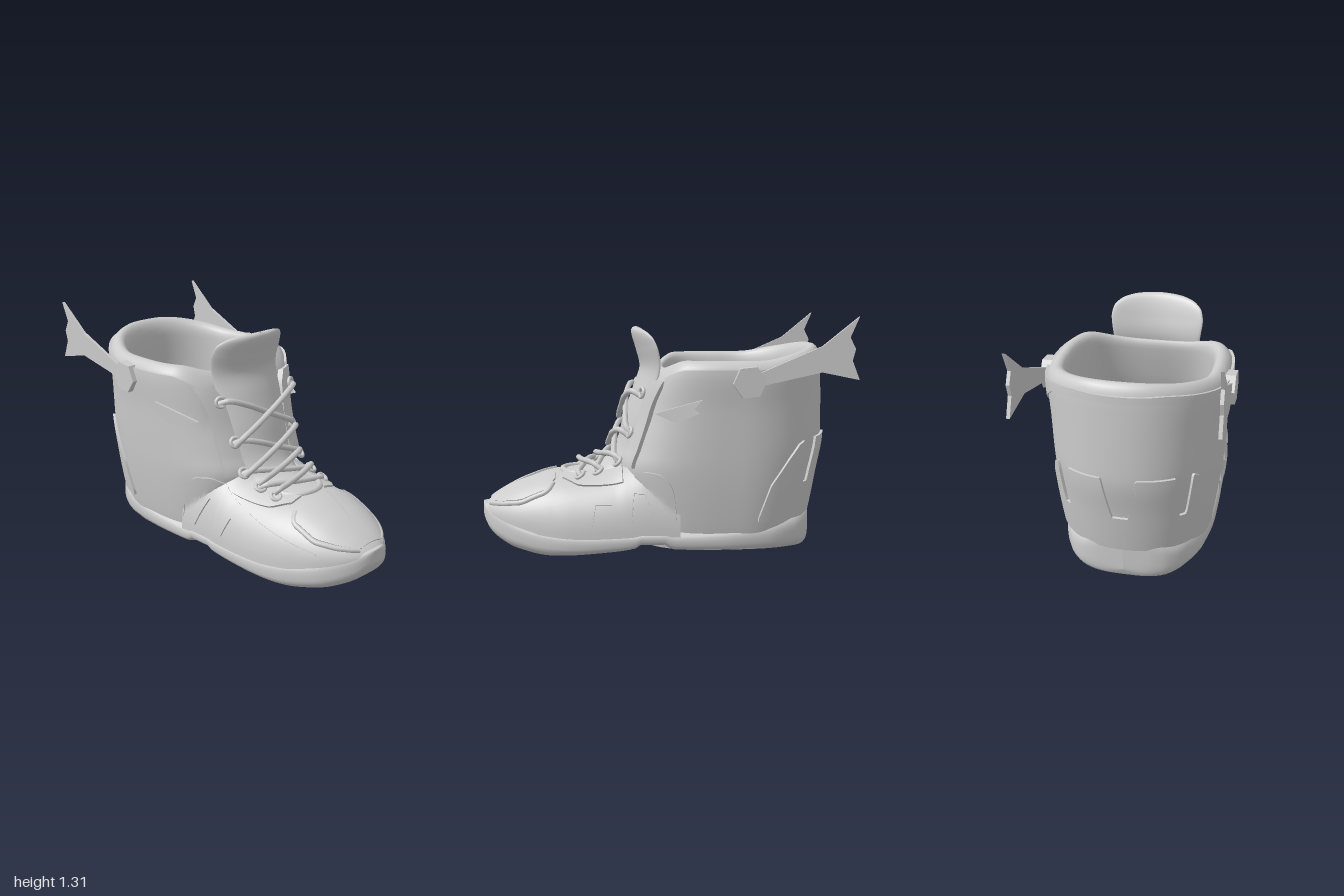
import * as THREE from 'three';
import { toCreasedNormals } from 'three/addons/utils/BufferGeometryUtils.js';

const V = (x, y, z) => new THREE.Vector3(x, y, z);
const mat = new THREE.MeshStandardMaterial({ color: 0xcccccc, side: THREE.DoubleSide });
const spow = (v, p) => Math.sign(v) * Math.pow(Math.abs(v), p);

// Piecewise interpolation of [key, value] pairs: straight, or smooth without overshoot
function lut(pts, smooth = true) {
  const sec = pts.slice(1).map((p, i) => (p[1] - pts[i][1]) / (p[0] - pts[i][0]));
  const tan = pts.map((p, i) => {
    const a = sec[Math.max(i - 1, 0)], b = sec[Math.min(i, sec.length - 1)];
    return a * b > 0 ? (2 * a * b) / (a + b) : 0;
  });
  return (x) => {
    if (x <= pts[0][0]) return pts[0][1];
    if (x >= pts[pts.length - 1][0]) return pts[pts.length - 1][1];
    let i = 0;
    while (x > pts[i + 1][0]) i++;
    const d = pts[i + 1][0] - pts[i][0], t = (x - pts[i][0]) / d;
    if (!smooth) return pts[i][1] + t * d * sec[i];
    const t2 = t * t, t3 = t2 * t;
    return (2 * t3 - 3 * t2 + 1) * pts[i][1] + (t3 - 2 * t2 + t) * d * tan[i]
      + (3 * t2 - 2 * t3) * pts[i + 1][1] + (t3 - t2) * d * tan[i + 1];
  };
}

// Skin over rows of points
function loft(rows, closed = true, crease = 0) {
  const n = rows[0].length, pos = [], idx = [];
  rows.forEach((r) => r.forEach((p) => pos.push(p.x, p.y, p.z)));
  for (let i = 0; i < rows.length - 1; i++)
    for (let j = 0; j < (closed ? n : n - 1); j++) {
      const a = i * n + j, b = i * n + (j + 1) % n;
      idx.push(a, b, b + n, a, b + n, a + n);
    }
  const g = new THREE.BufferGeometry();
  g.setAttribute('position', new THREE.Float32BufferAttribute(pos, 3));
  g.setIndex(idx);
  g.computeVertexNormals();
  return crease ? toCreasedNormals(g, crease) : g;
}

// Shaft outline by height
const shaftW = lut([[0, 0.35], [0.2, 0.395], [0.5, 0.432], [0.8, 0.45], [0.95, 0.465], [1, 0.455]]);
const backZ = lut([[0, -0.78], [0.2, -0.83], [0.45, -0.875], [0.67, -0.91], [1, -0.895]]);
const frontZ = lut([[0, 0.1], [0.4, 0.2], [0.5, 0.215], [0.6, 0.18], [0.75, 0.13], [0.9, 0.09], [1, 0.06]]);
const rimY = lut([[-0.85, 1.16], [-0.7, 1.12], [-0.5, 1.085], [-0.12, 1.085], [0.03, 1.0], [0.06, 0.94]]);
const ZC = -0.4;
function shaft(a, y, inset = 0) {
  const c = Math.cos(a), s = Math.sin(a), p = 2 / (c > 0 ? 3.1 : 2.15);
  const x = (shaftW(y) - inset) * spow(s, p);
  const z = ZC + ((c > 0 ? frontZ(y) - ZC : ZC - backZ(y)) - inset) * spow(c, p);
  return V(x, y > 0.7 ? 0.7 + (y - 0.7) * (rimY(z) - 0.7) / 0.3 : y, z);
}
const shaftFront = (y, x) => V(x, y, ZC + (frontZ(y) - ZC) * (1 - (Math.abs(x) / shaftW(y)) ** 3.1) ** (1 / 3.1));

// Foot outline by length
const soleW = lut([[-0.84, 0], [-0.83, 0.14], [-0.8, 0.23], [-0.72, 0.31], [-0.55, 0.375], [-0.3, 0.4], [0, 0.395],
  [0.3, 0.385], [0.5, 0.365], [0.6, 0.343], [0.7, 0.308], [0.8, 0.262], [0.88, 0.207], [0.94, 0.148], [0.98, 0.085],
  [0.995, 0.04], [1, 0]]);
const soleLow = lut([[-0.84, 0.09], [-0.82, 0.045], [-0.77, 0.02], [-0.4, 0.03], [-0.03, 0.045], [-0.015, 0.075],
  [0.14, 0.075], [0.155, 0.055], [0.3, 0.03], [0.62, 0.005], [0.8, 0.035], [0.9, 0.08], [0.96, 0.13], [1, 0.2]]);
const soleTop = lut([[-0.84, 0.27], [-0.75, 0.27], [-0.45, 0.22], [0, 0.19], [0.4, 0.19], [0.7, 0.22], [0.9, 0.265], [1, 0.275]]);
const footTop = lut([[-0.1, 0.58], [0.1, 0.57], [0.2, 0.53], [0.27, 0.495], [0.38, 0.47], [0.5, 0.455], [0.6, 0.445],
  [0.75, 0.4], [0.9, 0.325], [0.96, 0.285], [0.985, 0.265]]);
const footBase = lut([[0.6, 0.13], [0.985, 0.23]]);
const NF = 2.3;
const footW = (z) => Math.max(soleW(z) - 0.006, 0.001);
const bow = (t) => Math.max(0, 1 - Math.min(1, Math.abs(t)) ** NF) ** (1 / NF);
const footUp = (z, x) => V(x, footBase(z) + (footTop(z) - footBase(z)) * bow(x / footW(z)), z);
function side(z, y) {
  const b = footBase(z), t = (z - ZC) / (frontZ(y) - ZC);
  const foot = z < -0.1 ? 0 : footW(z) * bow(Math.max(0, y - b) / (footTop(z) - b));
  return V(Math.max(foot, t < 1 ? shaftW(y) * (1 - Math.abs(t) ** 3.1) ** (1 / 3.1) : 0), y, z);
}

// Point lifted off a surface along its outward normal
function lift(fn, u, v, h) {
  const e = 0.004, p = fn(u, v);
  const n = fn(u + e, v).sub(fn(u - e, v)).cross(fn(u, v + e).sub(fn(u, v - e))).normalize();
  const c = V(0, Math.min(p.y, 0.15), p.y > 0.55 ? ZC : THREE.MathUtils.clamp(p.z, ZC, 0.6));
  if (n.dot(p.clone().sub(c)) < 0) n.negate();
  return p.addScaledVector(n, h);
}

// Raised overlay following a surface between two boundary curves
function panel(fn, u0, u1, lo, hi, h = 0.018, nu = 60, nv = 10) {
  const rows = [];
  for (let i = -1; i <= nu + 1; i++) {
    const u = u0 + (u1 - u0) * THREE.MathUtils.clamp(i / nu, 0, 1), row = [], a = lo(u), b = Math.max(hi(u), a);
    for (let j = -1; j <= nv + 1; j++) {
      const edge = i < 0 || i > nu || j < 0 || j > nv;
      row.push(lift(fn, u, a + (b - a) * THREE.MathUtils.clamp(j / nv, 0, 1), edge ? -0.012 : h));
    }
    rows.push(row);
  }
  return loft(rows, false, 0.7);
}
const tube = (pts, r, seg = 40) => new THREE.TubeGeometry(new THREE.CatmullRomCurve3(pts), seg, r, 8);
const range = (n, f) => Array.from({ length: n + 1 }, (_, i) => f(i / n));

export function createModel() {
  const boot = new THREE.Group();
  boot.name = 'boot';
  const add = (name, geo) => {
    const m = new THREE.Mesh(geo, mat);
    m.name = name;
    boot.add(m);
    return m;
  };

  // Shaft: up the outside, over the padded rim, down the lining to the insole
  const N = 96, ring = (y, inset) => range(N - 1, (t) => shaft(t * 2 * Math.PI * (N - 1) / N, y, inset));
  const rows = range(28, (t) => ring(0.06 + 0.88 * t, 0));
  for (let i = 1; i <= 10; i++) {
    const t = i / 10 * Math.PI;
    rows.push(ring(0.94 + 0.06 * Math.sin(t), 0.05 * (1 - Math.cos(t))));
  }
  range(12, (t) => rows.push(ring(0.9 - 0.6 * t, 0.1 - 0.05 * t)));
  rows.push(ring(0.29, 0.08), rows[0].map(() => V(0, 0.29, -0.35)));
  add('shaft', loft(rows));

  // Forefoot upper
  add('forefoot', loft(range(50, (t) => {
    const z = -0.08 + 1.065 * Math.sin(t * Math.PI / 2), b = footBase(z);
    return range(40, (k) => {
      const a = k * Math.PI;
      return V(footW(z) * spow(Math.cos(a), 2 / NF), b + (footTop(z) - b) * Math.pow(Math.abs(Math.sin(a)), 2 / NF), z);
    });
  }), false));

  // Sole with raised arch
  add('sole', loft(range(110, (t) => {
    const z = 0.08 - 0.92 * Math.cos(t * Math.PI), b = soleLow(z), h = (soleTop(z) - b) / 2;
    return range(47, (k) => {
      const a = k * 2 * Math.PI * 47 / 48, s = Math.sin(a);
      return V(soleW(z) * spow(Math.cos(a), 0.58), b + h + h * spow(s, s > 0 ? 0.75 : 0.62), z);
    });
  })));

  // Tongue
  const path = new THREE.CatmullRomCurve3([[0.45, 0.43], [0.29, 0.49], [0.225, 0.58], [0.175, 0.75], [0.125, 0.9],
    [0.085, 1.03], [0.105, 1.13], [0.145, 1.25]].map(([z, y]) => V(0, y, z)));
  const tongueW = lut([[0, 0.14], [0.3, 0.19], [0.7, 0.24], [0.84, 0.255], [0.9, 0.245], [0.95, 0.205], [0.98, 0.145],
    [0.995, 0.075], [1, 0.005]]);
  add('tongue', loft(range(60, (q) => {
    const t = Math.sin(q * Math.PI / 2), p = path.getPoint(t), d = path.getTangent(t);
    const k = 0.03 * Math.sqrt(1 - 0.98 * t ** 40);
    return range(35, (r) => {
      const a = r * 2 * Math.PI * 35 / 36, x = tongueW(t) * spow(Math.cos(a), 0.8), o = k * Math.sin(a) - 1.1 * x * x;
      return V(x, p.y - d.z * o, p.z + d.y * o);
    });
  })));

  // Padded collar panel and heel counter
  const collarLow = lut([[-0.9, 0.94], [-0.75, 0.93], [-0.6, 0.87], [-0.35, 0.76], [-0.08, 0.77], [0.03, 0.86]], false);
  add('collarPanel', panel(shaft, 0.7, 2 * Math.PI - 0.7, (a) => collarLow(shaft(a, 0.8).z), () => 0.965, 0.009, 120));
  const heelTop = lut([[0.2, 0.24], [0.32, 0.42], [0.52, 0.56], [0.64, 0.63], [0.73, 0.655], [0.8, 0.42], [0.9, 0.42],
    [0.96, 0.66], [1.4, 0.67], [1.49, 0.43], [1.57, 0.43]], false);
  add('heelCounter', panel(shaft, Math.PI / 2 + 0.2, Math.PI * 1.5 - 0.2, () => 0.22,
    (a) => heelTop(Math.PI / 2 - Math.abs(a - Math.PI)), 0.014, 180));

  // Front edge of the throat
  add('throatEdge', tube(range(16, (t) => {
    const a = (t - 0.5) * Math.PI;
    return footUp(0.42 + 0.13 * Math.cos(a), 0.14 * Math.sin(a));
  }), 0.018));

  // Toe cap, side panel and eyelet layouts
  const notch = lut([[0.59, 0.065], [0.81, 0.004], [0.825, -0.04], [1, -0.04]], false);
  const capEdge = lut([[0.59, 0.16], [0.64, 0.225], [0.75, 0.22], [0.85, 0.175], [0.92, 0.115], [0.96, 0.06]]);
  const sideLow = lut([[-0.06, 0.2], [0.03, 0.2], [0.11, 0.37], [0.165, 0.37], [0.18, 0.2], [0.235, 0.2], [0.28, 0.31],
    [0.37, 0.31], [0.39, 0.2], [0.5, 0.2], [0.8, 0.25]], false);
  const sideTop = lut([[-0.06, 0.22], [-0.05, 0.36], [-0.02, 0.44], [0.04, 0.485], [0.1, 0.49], [0.16, 0.455], [0.25, 0.4],
    [0.4, 0.35], [0.6, 0.3], [0.8, 0.255]]);
  const eyelets = [[0.27, 0.91, 0.12], [0.225, 0.69, 0.185], [0.22, 0.53, 0.25], [0.2, 0.475, 0.355], [0.185, 0.45, 0.455]];

  for (const s of [1, -1]) {
    const n = s > 0 ? 'left' : 'right';
    const mirror = (fn) => (u, v) => { const p = fn(u, v); p.x *= s; return p; };
    add(n + 'ToePad', panel(mirror(footUp), 0.59, 0.95, notch, capEdge, 0.01));
    add(n + 'ToeRidge', tube(range(14, (t) => mirror(footUp)(0.6 + 0.35 * t, capEdge(0.6 + 0.35 * t) + 0.01)), 0.015));
    add(n + 'SidePanel', panel(mirror(side), -0.06, 0.8, sideLow, sideTop, 0.01, 150));
    // Eyestay on the shaft and on the instep
    add(n + 'UpperEyestay', panel(mirror(shaftFront), 0.5, 0.97, lut([[0.5, 0.17], [0.7, 0.19], [0.9, 0.22], [0.97, 0.26]]),
      lut([[0.5, 0.28], [0.8, 0.3], [0.97, 0.35]]), 0.024, 30));
    add(n + 'LowerEyestay', panel(mirror(footUp), 0.22, 0.55, lut([[0.22, 0.17], [0.45, 0.14], [0.55, 0.09]]),
      lut([[0.22, 0.28], [0.45, 0.24], [0.55, 0.16]]), 0.012, 30));
    eyelets.forEach(([x, y, z], i) => {
      const e = add(n + 'Eyelet', new THREE.TorusGeometry(0.026, 0.01, 8, 18));
      e.position.set(s * x, y, z);
      e.lookAt(s * (x + 0.4), y + [0.2, 0.4, 0.8, 1.5, 1.5][i], z + 1);
    });
    // Crossing laces
    for (let i = 0; i < 4; i++) {
      const a = eyelets[i], b = eyelets[i + 1], up = 0.012 * (s + 1), bulge = i > 1 ? 0.6 : 0.85;
      const at = (t, o) => V(s * (a[0] + (-b[0] - a[0]) * t), a[1] + (b[1] - a[1]) * t + o * bulge + (i > 1 ? up : 0) - 0.06 * t * (1 - t),
        a[2] + (b[2] - a[2]) * t + o * bulge + (i < 2 ? up : 0));
      add('lace', tube([at(0, -0.02), at(0.06, 0.025), at(0.3, 0.05), at(0.55, 0.045), at(0.8, 0.035), at(0.95, 0.02), at(1, -0.02)], 0.016));
    }

    // Winged fastener: hexagonal boss and forked blade
    const wing = new THREE.Group();
    wing.name = n + 'Wing';
    const boss = new THREE.Mesh(toCreasedNormals(new THREE.CylinderGeometry(0.088, 0.088, 0.06, 6), 0.3), mat);
    boss.name = 'boss';
    boss.rotation.set(0.1, 0, Math.PI / 2);
    boss.position.set(0.47, 0.98, -0.425);
    const shape = new THREE.Shape([[0.44, 0.95], [0.8, 1.03], [0.995, 0.99], [0.955, 1.09], [0.97, 1.15], [0.94, 1.21],
      [0.985, 1.315], [0.8, 1.165], [0.44, 1.01]].map(([z, y]) => new THREE.Vector2(z, y)));
    const geo = new THREE.ExtrudeGeometry(shape, { depth: 0.018, bevelEnabled: false });
    geo.rotateY(Math.PI / 2);
    const p = geo.attributes.position;
    for (let i = 0; i < p.count; i++) p.setX(i, p.getX(i) + 0.465 + 0.04 * (-p.getZ(i) - 0.44));
    geo.computeVertexNormals();
    const blade = new THREE.Mesh(geo, mat);
    blade.name = 'blade';
    wing.add(boss, blade);
    wing.scale.x = s;
    boot.add(wing);

    // Jagged fin below the collar
    const fin = new THREE.ExtrudeGeometry(new THREE.Shape([[-0.06, 0.81], [0.18, 0.89], [0.14, 0.84], [0.17, 0.82], [0.05, 0.765]]
      .map(([z, y]) => new THREE.Vector2(z, y))), { depth: 0.014, bevelEnabled: false });
    fin.rotateY(Math.PI / 2);
    const q = fin.attributes.position;
    for (let i = 0; i < q.count; i++) q.setX(i, s * (q.getX(i) + 0.37 + 0.4 * (-q.getZ(i) + 0.06)));
    fin.computeVertexNormals();
    add(n + 'Fin', fin);
  }
  return boot;
}
